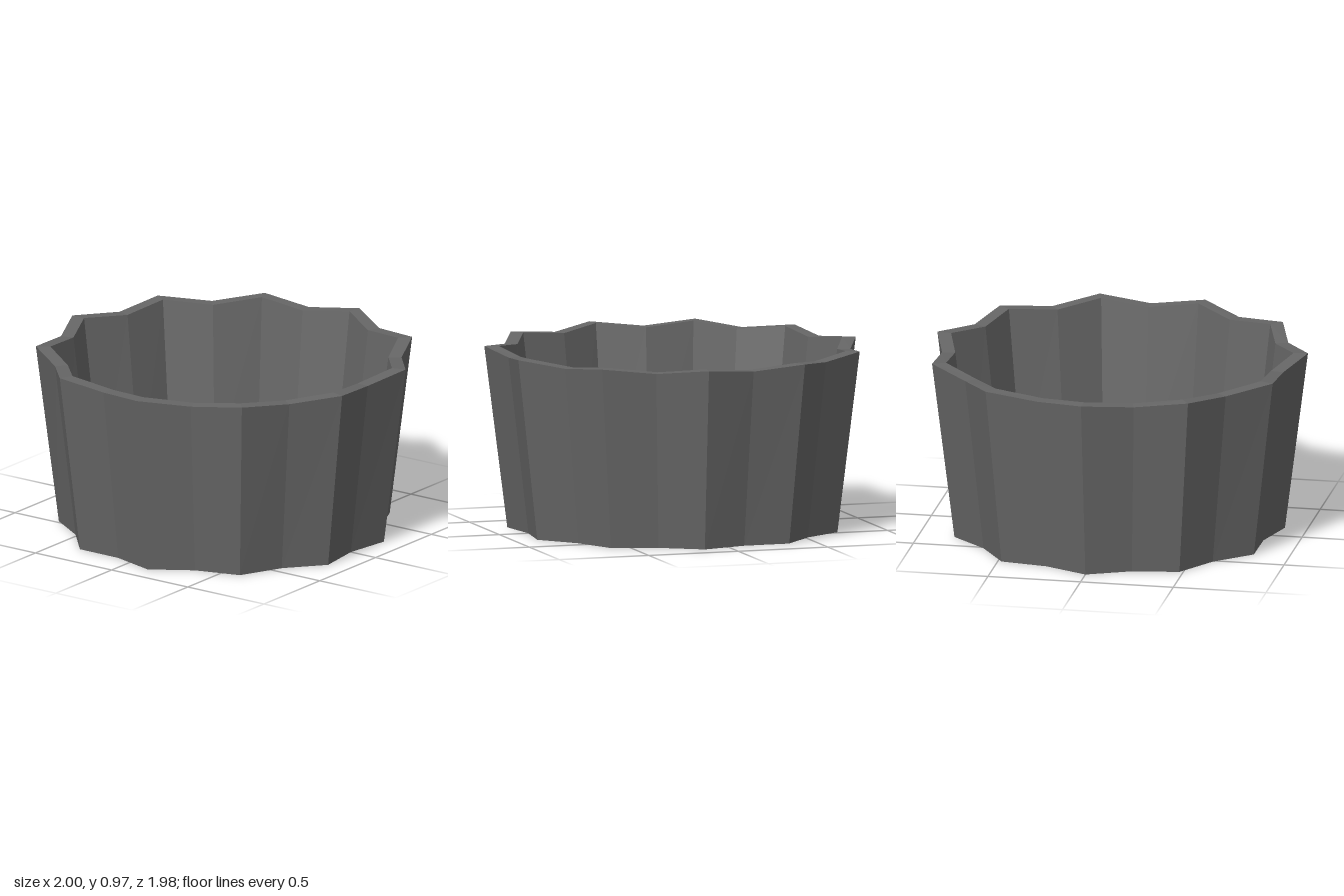
import * as THREE from 'three';

const FLUTES = 11;
const STEPS = FLUTES * 2;

// Each ring alternates ridge and valley points: radius and height for both.
const ring = (ridgeR, valleyR, ridgeY, valleyY = ridgeY) => (i) => {
  const a = Math.PI + (i * Math.PI) / FLUTES; // a ridge points to the back
  const ridge = i % 2 === 0;
  const r = ridge ? ridgeR : valleyR;
  return [r * Math.sin(a), ridge ? ridgeY : valleyY, r * Math.cos(a)];
};

// Band of faceted panels joining two rings
function band(name, from, to, material) {
  const pos = [];
  for (let i = 0; i < STEPS; i++) {
    const a = from(i), b = from(i + 1), c = to(i + 1), d = to(i);
    pos.push(...a, ...b, ...c, ...a, ...c, ...d);
  }
  const geometry = new THREE.BufferGeometry();
  geometry.setAttribute('position', new THREE.Float32BufferAttribute(pos, 3));
  geometry.computeVertexNormals();
  const mesh = new THREE.Mesh(geometry, material);
  mesh.name = name;
  return mesh;
}

// Flat disc filling a ring, facing up or down
function disc(name, edge, y, up, material) {
  const pos = [];
  for (let i = 0; i < STEPS; i++) {
    const a = edge(i), b = edge(i + 1);
    pos.push(0, y, 0, ...(up ? a : b), ...(up ? b : a));
  }
  const geometry = new THREE.BufferGeometry();
  geometry.setAttribute('position', new THREE.Float32BufferAttribute(pos, 3));
  geometry.computeVertexNormals();
  const mesh = new THREE.Mesh(geometry, material);
  mesh.name = name;
  return mesh;
}

export function createModel() {
  const group = new THREE.Group();
  group.name = 'flutedPot';
  const grey = new THREE.MeshStandardMaterial({ color: 0x666666 });
  grey.name = 'dark grey';

  const outerBottom = ring(0.888, 0.818, 0);
  const outerTop = ring(1.01, 0.93, 0.97, 0.945);
  const innerTop = ring(0.933, 0.86, 0.97, 0.945);
  const innerBottom = ring(0.817, 0.752, 0.05);

  const pot = new THREE.Group();
  pot.name = 'pot';
  pot.position.z = 0.02; // odd flute count: centre the bounds
  pot.add(
    disc('underside', outerBottom, 0, false, grey),
    band('outerWall', outerBottom, outerTop, grey),
    band('rim', outerTop, innerTop, grey),
    band('innerWall', innerTop, innerBottom, grey),
    disc('floor', innerBottom, 0.05, true, grey),
  );
  group.add(pot);
  return group;
}
